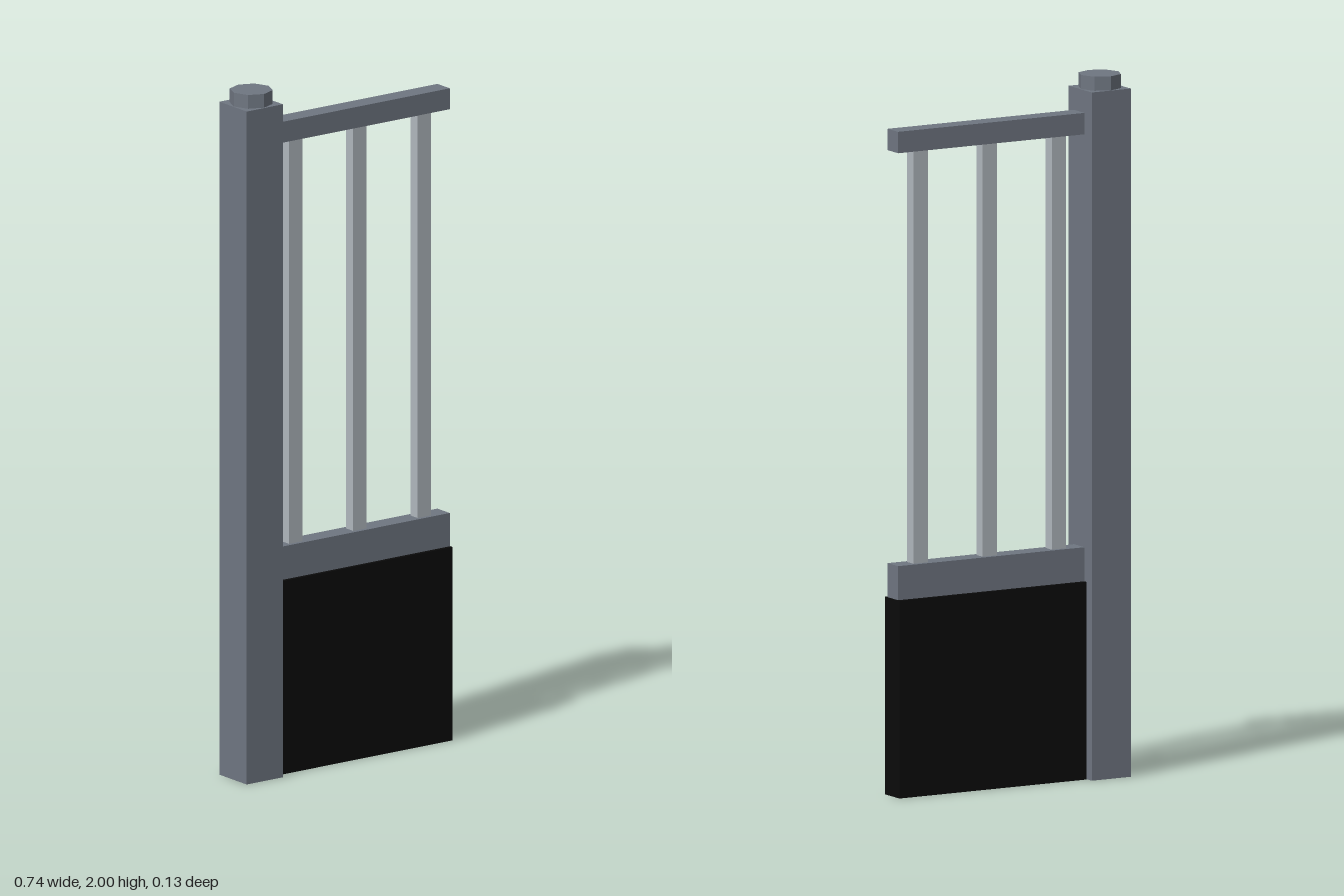
import * as THREE from 'three';

export function createModel() {
  const model = new THREE.Group();
  model.name = 'gatePanel';

  const material = (name, color) => {
    const m = new THREE.MeshStandardMaterial({ color });
    m.name = name;
    return m;
  };
  const steel = material('slate grey steel', 0x6f7681);
  const paleSteel = material('pale grey steel', 0xb0b7bd);
  const black = material('black panel', 0x0b0b0b);

  const add = (name, geometry, mat, x, y, z = 0) => {
    const mesh = new THREE.Mesh(geometry, mat);
    mesh.name = name;
    mesh.position.set(x, y, z);
    model.add(mesh);
    return mesh;
  };
  // Box given by its x and y limits, centred on z = 0
  const slab = (name, mat, x0, x1, y0, y1, depth) =>
    add(name, new THREE.BoxGeometry(x1 - x0, y1 - y0, depth), mat, (x0 + x1) / 2, (y0 + y1) / 2);

  // Square post with an octagonal cap
  slab('post', steel, -0.369, -0.242, 0, 1.96, 0.128);
  const cap = new THREE.CylinderGeometry(0.061, 0.061, 0.04, 8).toNonIndexed();
  cap.computeVertexNormals();
  add('postCap', cap, steel, -0.3055, 1.98);

  // Solid lower panel and the two rails
  slab('lowerPanel', black, -0.239, 0.369, 0, 0.563, 0.079);
  slab('lowerRail', steel, -0.239, 0.367, 0.563, 0.66, 0.058);
  slab('topRail', steel, -0.239, 0.367, 1.836, 1.897, 0.058);

  // Upright bars between the rails
  for (const x of [-0.163, 0.062, 0.287]) {
    slab('bar', paleSteel, x - 0.0235, x + 0.0235, 0.66, 1.836, 0.034);
  }

  return model;
}
